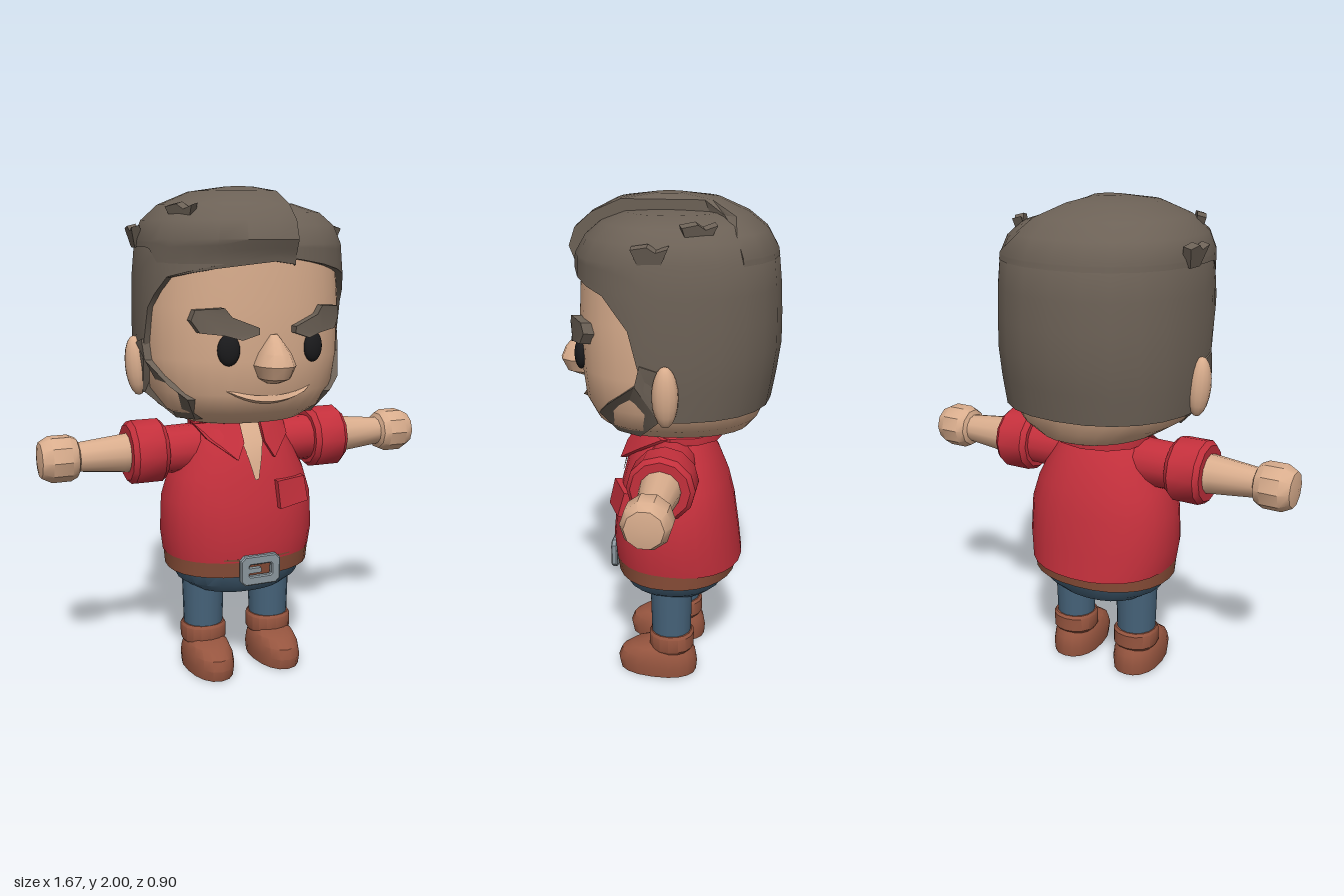
import * as THREE from 'three';
import { toCreasedNormals } from 'three/addons/utils/BufferGeometryUtils.js';

const mat = (name, color) => {
  const m = new THREE.MeshStandardMaterial({ color });
  m.name = name;
  return m;
};
const N = 2.2; // roundness exponent of every cross-section
const lerp = THREE.MathUtils.lerp;

// Linear lookup in a table of rows [key, ...values]
function at(table, key) {
  let i = 1;
  while (i < table.length - 1 && key > table[i][0]) i++;
  const a = table[i - 1], b = table[i];
  const t = THREE.MathUtils.clamp((key - a[0]) / (b[0] - a[0]), 0, 1);
  return a.slice(1).map((v, k) => lerp(v, b[k + 1], t));
}
// Point of a cross-section [halfWidth, frontZ, backZ] around z = c
function point([rx, zf, zb], a, c, y) {
  const s = Math.sin(a), k = Math.cos(a);
  const e = v => Math.sign(v) * Math.abs(v) ** (2 / N);
  return [rx * e(s), y, c + (k > 0 ? zf - c : c - zb) * e(k)];
}
const arc = u => Math.max(0, 1 - Math.min(1, Math.abs(u)) ** N) ** (1 / N);
const frontZ = (rings, c) => (x, y) => {
  const [rx, zf] = at(rings, y);
  return c + (zf - c) * arc(x / rx);
};
// Surface through rows of points, bottom to top; closed ones get end caps
function skinRows(rows, closed = true, crease = 0.6) {
  const n = rows[0].length, pos = rows.flat(2), idx = [];
  for (let j = 0; j < rows.length - 1; j++)
    for (let i = 0; i < (closed ? n : n - 1); i++) {
      const k = (i + 1) % n, a = j * n + i, b = j * n + k;
      idx.push(a, b, b + n, a, b + n, a + n);
    }
  if (closed) [0, rows.length - 1].forEach(j => {
    const mid = [0, 1, 2].map(k => rows[j].reduce((s, p) => s + p[k], 0) / n);
    const m = pos.length / 3;
    pos.push(...mid);
    for (let i = 0; i < n; i++) {
      const a = j * n + i, b = j * n + (i + 1) % n;
      idx.push(...(j ? [a, b, m] : [b, a, m]));
    }
  });
  const g = new THREE.BufferGeometry();
  g.setAttribute('position', new THREE.Float32BufferAttribute(pos, 3));
  g.setIndex(idx);
  return toCreasedNormals(g, crease);
}
// Loft through rings [y, halfWidth, frontZ, backZ]
const loft = (rings, c = 0, seg = 24, move = p => p) => skinRows(rings.map(([y, ...r]) =>
  Array.from({ length: seg }, (_, i) => move(point(r, i / seg * Math.PI * 2, c, y)))));
const outline = pts => new THREE.Shape(pts.map(p => new THREE.Vector2(...p)));
// Move vertices by a rule
function warp(g, fn) {
  const p = g.attributes.position;
  for (let i = 0; i < p.count; i++) p.setXYZ(i, ...fn(p.getX(i), p.getY(i), p.getZ(i)));
  return toCreasedNormals(g, 0.5);
}
// Plate wrapped on a front surface
const plate = (pts, depth, z, off) => warp(
  new THREE.ExtrudeGeometry(outline(pts), { depth, bevelEnabled: false }),
  (x, y, d) => [x, y, d + off + z(x, y)]);

const HEAD = [[1.07, .18, .12, -.28], [1.09, .25, .22, -.33], [1.14, .33, .29, -.37], [1.22, .38, .33, -.4],
  [1.35, .4, .345, -.42], [1.55, .402, .35, -.42], [1.75, .385, .34, -.4], [1.85, .3, .25, -.3]];
const SHIRT = [[.515, .312, .222, -.31], [.6, .325, .23, -.297], [.75, .32, .215, -.275], [.85, .29, .19, -.25],
  [.95, .24, .165, -.21], [1.02, .2, .13, -.17], [1.07, .16, .09, -.13]];
const HAIR = [[1.2, .405, .34, -.412], [1.3, .417, .36, -.43], [1.45, .426, .367, -.45], [1.65, .422, .367, -.442],
  [1.78, .41, .362, -.428], [1.85, .385, .32, -.385], [1.9, .33, .26, -.33], [1.935, .22, .17, -.22], [1.945, .03, .03, -.03]];
const QUIFF = [[1.66, .416, .355, -.435], [1.74, .416, .37, -.435], [1.8, .412, .395, -.425], [1.87, .385, .37, -.385],
  [1.93, .32, .3, -.31], [1.98, .2, .2, -.2], [2, .06, .06, -.06]];
// Hairlines: [degrees from the front, height]
const HAIRLINE = [[0, 1.74], [35, 1.7], [62, 1.66], [79, 1.53], [83, 1.38], [91, 1.2], [180, 1.2]];
const FRINGE = [[0, 1.72], [35, 1.69], [60, 1.66], [78, 1.77], [180, 1.77]];

// Hair shell with a lower edge that follows a hairline
function hairShell(rings, line, shoulder, move = p => p) {
  const half = [0, 15, 30, 45, 60, 70, 77, 82, 86, 92, 105, 120, 135, 150, 165, 180];
  const deg = [...half, ...half.slice(1, -1).reverse().map(d => 360 - d)];
  const row = (yOf, k = 1) => deg.map(d => {
    const y = yOf(at(line, Math.min(d, 360 - d))[0]);
    return move(point(at(rings, y).map(v => v * k), d * Math.PI / 180, 0, y));
  });
  const rows = [row(b => b, .9)];
  for (let t = 0; t <= 5; t++) rows.push(row(b => lerp(b, shoulder, t / 5)));
  rings.filter(r => r[0] > shoulder).forEach(r => rows.push(row(() => r[0])));
  return skinRows(rows, true, 0.7);
}

export function createModel() {
  const model = new THREE.Group();
  const skin = mat('skin', 0xd9ad8d), hair = mat('hair', 0x6c6156), red = mat('shirt red', 0xc4303c);
  const denim = mat('denim', 0x46637a), leather = mat('belt leather', 0x8a4e38), bootM = mat('boot leather', 0x96553f);
  const metal = mat('metal', 0x8b979e), black = mat('eye black', 0x1b1b1d);
  skin.side = red.side = THREE.DoubleSide;
  const add = (name, g, m) => {
    const mesh = new THREE.Mesh(g, m);
    mesh.name = name;
    model.add(mesh);
    return mesh;
  };
  const faceZ = frontZ(HEAD, 0), chestZ = frontZ(SHIRT, -.03);

  // Head and hair
  add('head', loft(HEAD, 0, 32), skin);
  add('neck', new THREE.CylinderGeometry(.13, .13, .12, 16).translate(0, 1.04, -.03), skin);
  add('hair', hairShell(HAIR, HAIRLINE, 1.78), hair);
  add('quiff', hairShell(QUIFF, FRINGE, 1.8, ([x, y, z]) =>
    [Math.min(x, .085 + Math.max(0, -.2 - z) * 2), y, z]), hair);
  add('nose', loft([[1.265, .025, .37, .3], [1.285, .06, .425, .3], [1.335, .08, .45, .3], [1.38, .062, .43, .3],
    [1.42, .035, .395, .3], [1.45, .015, .355, .3]], .34, 12), skin);

  // Smile: a lip ledge that faces upward
  const xs = Array.from({ length: 11 }, (_, i) => -.175 + i * .035);
  const lip = (mid, end, off) => xs.map(x => {
    const y = lerp(mid, end, (x / .175) ** 2);
    return [x, y, faceZ(x, y) + off * (1 - (x / .175) ** 4)];
  });
  add('mouth', skinRows([lip(1.18, 1.235, 0), lip(1.192, 1.238, .022), lip(1.215, 1.243, .004)], false, .3), skin);

  // Hair tufts: position, heading around y
  [[.385, 1.77, .015, 90], [.3, 1.84, -.14, 115], [-.395, 1.77, -.09, -95], [-.29, 1.85, .17, -62]].forEach(([x, y, z, d]) => {
    const g = new THREE.ExtrudeGeometry(outline([[-.035, 0], [.035, 0], [.07, .08], [.025, .065], [-.005, .085], [-.065, .075]]),
      { depth: .035, bevelEnabled: false });
    const t = add('hairTuft', g.translate(0, 0, -.018), hair);
    t.rotation.set(.25, d * Math.PI / 180, 0, 'YXZ');
    t.position.set(x, y, z);
  });

  // Torso
  add('shirt', loft(SHIRT, -.03, 28, ([x, y, z]) => [x, y + (y < .55 && z < 0 ? .06 * z : 0), z]), red);
  add('belt', loft([[.45, .305, .212, -.285], [.53, .312, .224, -.295]], -.03, 28), leather);
  add('hips', loft([[.335, .1, .07, -.13], [.36, .2, .14, -.2], [.4, .26, .18, -.24], [.46, .288, .2, -.265]], -.03), denim);
  add('collar', loft([[1.035, .2, .07, -.23], [1.065, .2, .07, -.23], [1.08, .165, .04, -.19]], -.03, 12), red);
  const vee = Array.from({ length: 7 }, (_, i) => {
    const y = .85 + i * .037, w = .008 + .055 * i / 6;
    return [-w, 0, w].map(x => [x, y, chestZ(x, y) + .007]);
  });
  add('openNeck', skinRows(vee, false), skin);
  add('pocket', plate([[.085, .73], [.238, .735], [.232, .835], [.082, .84]], .032, chestZ, 0), red);

  // Buckle with prong
  const box = (x0, y0, x1, y1, c) => [[x0 + c, y0], [x1 - c, y0], [x1, y0 + c], [x1, y1 - c], [x1 - c, y1], [x0 + c, y1], [x0, y1 - c], [x0, y0 + c]];
  const frame = outline(box(-.083, .426, .08, .54, .016));
  frame.holes.push(outline(box(-.055, .454, .052, .512, .008).reverse()));
  add('buckle', new THREE.ExtrudeGeometry(frame, { depth: .016, bevelSize: .005, bevelThickness: .005, bevelSegments: 1 })
    .translate(0, 0, .221), metal);
  add('buckleProng', new THREE.BoxGeometry(.07, .02, .02).translate(-.034, .483, .23), metal);

  for (const s of [1, -1]) {
    const m = pts => pts.map(([x, y]) => [x * s, y]);
    // Face details
    add('ear', new THREE.SphereGeometry(1, 14, 10).scale(.045, .12, .05).rotateZ(-.08 * s).translate(.422 * s, 1.305, -.045), skin);
    add('eye', new THREE.SphereGeometry(1, 16, 12).scale(.043, .06, .025).rotateY(.3 * s)
      .translate(.175 * s, 1.395, faceZ(.175, 1.395) + .006), black);
    add('eyebrow', plate(m([[.307, 1.505], [.295, 1.545], [.2, 1.553], [.175, 1.52], [.075, 1.48], [.074, 1.455], [.137, 1.434], [.2, 1.452], [.28, 1.46]]),
      .045, faceZ, -.005), hair);
    const burn = [[.228, 1.2], [.185, 1.25], [.07, 1.34], [.05, 1.42], [-.02, 1.4], [-.02, 1.2], [.07, 1.105], [.165, 1.11]];
    add('sideburn', warp(new THREE.ExtrudeGeometry(outline(burn.map(([z, y]) => [-s * z, y])), { depth: .055, bevelEnabled: false })
      .rotateY(s * Math.PI / 2), (x, y, z) => {
      const [rx, zf, zb] = at(HEAD, y);
      return [x + s * (rx * arc(z > 0 ? z / zf : z / zb) - .025), y, z];
    }), hair);
    add('collarWing', plate(m([[.045, 1.075], [.12, 1.085], [.2, 1.06], [.175, 1.01], [.08, .935], [.045, 1.0]]), .025, chestZ, .008), red);

    // Arms
    const armPart = (name, pts, material, seg) => add(name, toCreasedNormals(
      new THREE.LatheGeometry(pts.map(p => new THREE.Vector2(...p)), seg)
        .rotateZ(-s * Math.PI / 2).translate(0, .955, -.033), .6), material);
    armPart('sleeve', [[.09, .08], [.1, .18], [.096, .34]], red, 14);
    armPart('sleeveCuff', [[.08, .325], [.115, .325], [.132, .345], [.132, .455], [.115, .475], [.08, .475]], red, 12);
    armPart('forearm', [[.084, .44], [.078, .5], [.058, .69]], skin, 12);
    armPart('hand', [[.045, .667], [.08, .682], [.093, .71], [.093, .785], [.072, .825], [0, .837]], skin, 10);

    // Legs and boots
    const x = .152 * s;
    add('leg', new THREE.CylinderGeometry(.09, .083, .24, 16).translate(x, .3, -.03), denim);
    add('bootCuff', loft([[.1, .08, .05, -.11], [.122, .095, .063, -.127], [.18, .095, .063, -.127], [.192, .088, .055, -.118]], -.03, 16)
      .translate(x, 0, 0), bootM);
    add('boot', loft([[0, .096, .19, -.138], [.045, .1, .2, -.142], [.085, .095, .185, -.135], [.115, .085, .14, -.12], [.132, .07, .07, -.11]], 0, 18)
      .translate(x, 0, 0), bootM);
  }
  return model;
}
